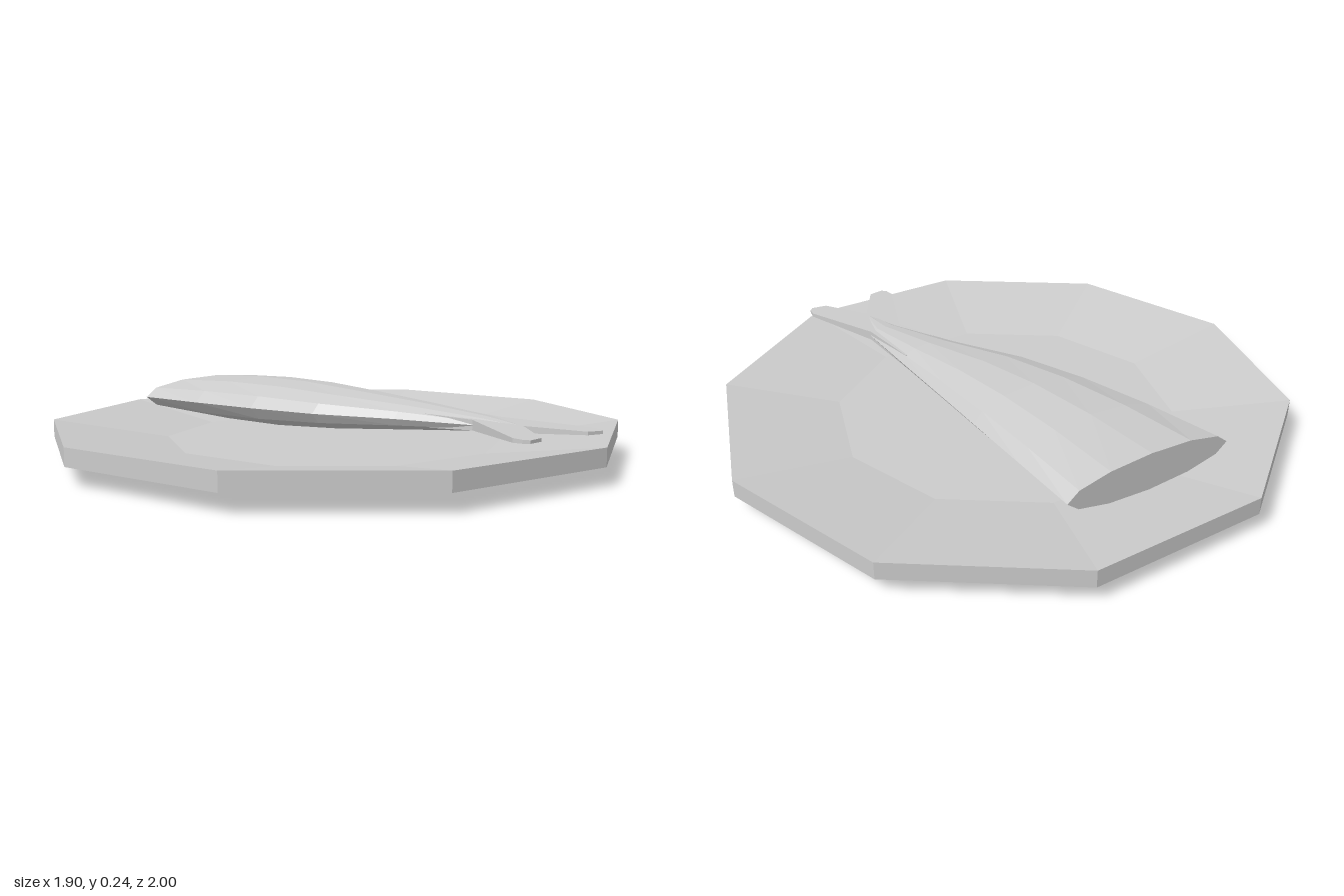
import * as THREE from 'three';

const mat = new THREE.MeshStandardMaterial({ color: 0xcccccc, flatShading: true, side: THREE.DoubleSide });

function add(group, name, geometry) {
  const mesh = new THREE.Mesh(geometry, mat);
  mesh.name = name;
  group.add(mesh);
}

// Elliptical cross-sections [x, backZ, frontZ, halfHeight] joined along x, capped at both ends
function loft(sections, sides) {
  const pos = [], index = [];
  for (const [x, z0, z1, h] of sections) {
    for (let i = 0; i < sides; i++) {
      const a = (i / sides) * Math.PI * 2;
      pos.push(x, Math.sin(a) * h, (z0 + z1) / 2 + Math.cos(a) * (z1 - z0) / 2);
    }
  }
  for (let s = 0; s < sections.length - 1; s++) {
    for (let i = 0; i < sides; i++) {
      const a = s * sides + i, b = s * sides + (i + 1) % sides;
      index.push(a, a + sides, b, b, a + sides, b + sides);
    }
  }
  const last = (sections.length - 1) * sides;
  for (let i = 1; i < sides - 1; i++) {
    index.push(0, i, i + 1, last, last + i + 1, last + i);
  }
  const g = new THREE.BufferGeometry();
  g.setAttribute('position', new THREE.Float32BufferAttribute(pos, 3));
  g.setIndex(index);
  g.computeVertexNormals();
  return g;
}

export function createModel() {
  const model = new THREE.Group();
  model.name = 'fishOnPlate';

  // Ten-sided dished plate, open underneath inside the foot
  const profile = [[0.595, 0], [1, 0.06], [1, 0.12], [0.595, 0.06], [0, 0.06]];
  add(model, 'plate', new THREE.LatheGeometry(profile.map(p => new THREE.Vector2(...p)), 10));

  const fish = new THREE.Group();
  fish.name = 'fish';
  fish.position.y = 0.16;
  model.add(fish);

  // Body with a straight back, a curved belly and a flat cut where the head was
  add(fish, 'fishBody', loft([
    [-0.705, -0.235, 0.393, 0.067],
    [-0.44, -0.235, 0.322, 0.081],
    [-0.18, -0.235, 0.243, 0.081],
    [0.07, -0.235, 0.15, 0.067],
    [0.33, -0.235, 0.003, 0.046],
    [0.58, -0.234, -0.11, 0.024],
    [0.74, -0.185, -0.159, 0.01],
  ], 12));

  // Forked tail, rooted inside the body and thinning toward the tips
  const half = [[0.58, 0.061], [0.865, 0.174], [0.9, 0.17], [0.918, 0.155], [0.908, 0.1]];
  const midZ = -0.172;
  const outline = [
    [0.32, -0.025],
    ...half.map(([x, z]) => [x, midZ + z]),
    [0.74, midZ],
    ...half.map(([x, z]) => [x, midZ - z]).reverse(),
    [0.32, -0.218],
  ];
  const tail = new THREE.ExtrudeGeometry(
    new THREE.Shape(outline.map(p => new THREE.Vector2(...p))),
    { depth: 2, bevelEnabled: false });
  tail.translate(0, 0, -1).rotateX(Math.PI / 2);
  const p = tail.attributes.position;
  for (let i = 0; i < p.count; i++) {
    const t = (p.getX(i) - 0.32) / 0.6;
    p.setY(i, p.getY(i) * THREE.MathUtils.lerp(0.026, 0.005, t));
  }
  tail.computeVertexNormals();
  add(fish, 'tailFin', tail);

  return model;
}
